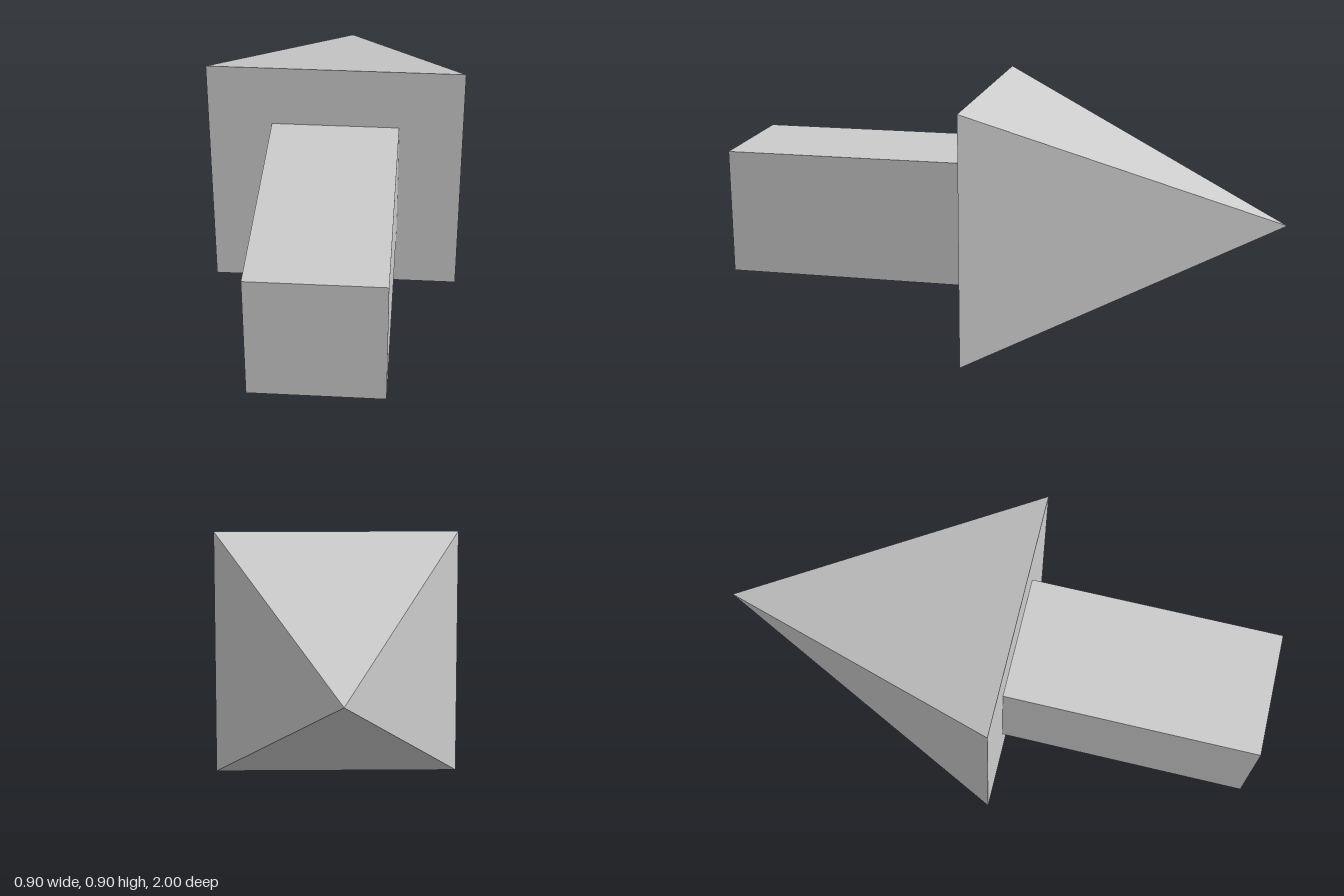
import * as THREE from 'three';

const HEAD = 0.904;       // width of the square head
const SHAFT = 0.452;      // width of the square shaft
const JOIN = 0.09;        // z where head meets shaft

export function createModel() {
  const group = new THREE.Group();
  group.name = 'arrow';
  const material = new THREE.MeshStandardMaterial({ color: 0xcccccc, flatShading: true });

  const add = (name, geometry, z) => {
    const mesh = new THREE.Mesh(geometry, material);
    mesh.name = name;
    mesh.position.set(0, HEAD / 2, z);
    group.add(mesh);
  };

  // Square shaft reaching forward from the head
  const shaftLength = 1 - JOIN;
  add('shaft', new THREE.BoxGeometry(SHAFT, SHAFT, shaftLength), JOIN + shaftLength / 2);

  // Four-sided pyramid head, its tip pointing back
  const headLength = 1 + JOIN;
  const head = new THREE.ConeGeometry(HEAD / Math.SQRT2, headLength, 4);
  head.rotateY(Math.PI / 4).rotateX(-Math.PI / 2);
  add('head', head, JOIN - headLength / 2);

  return group;
}
